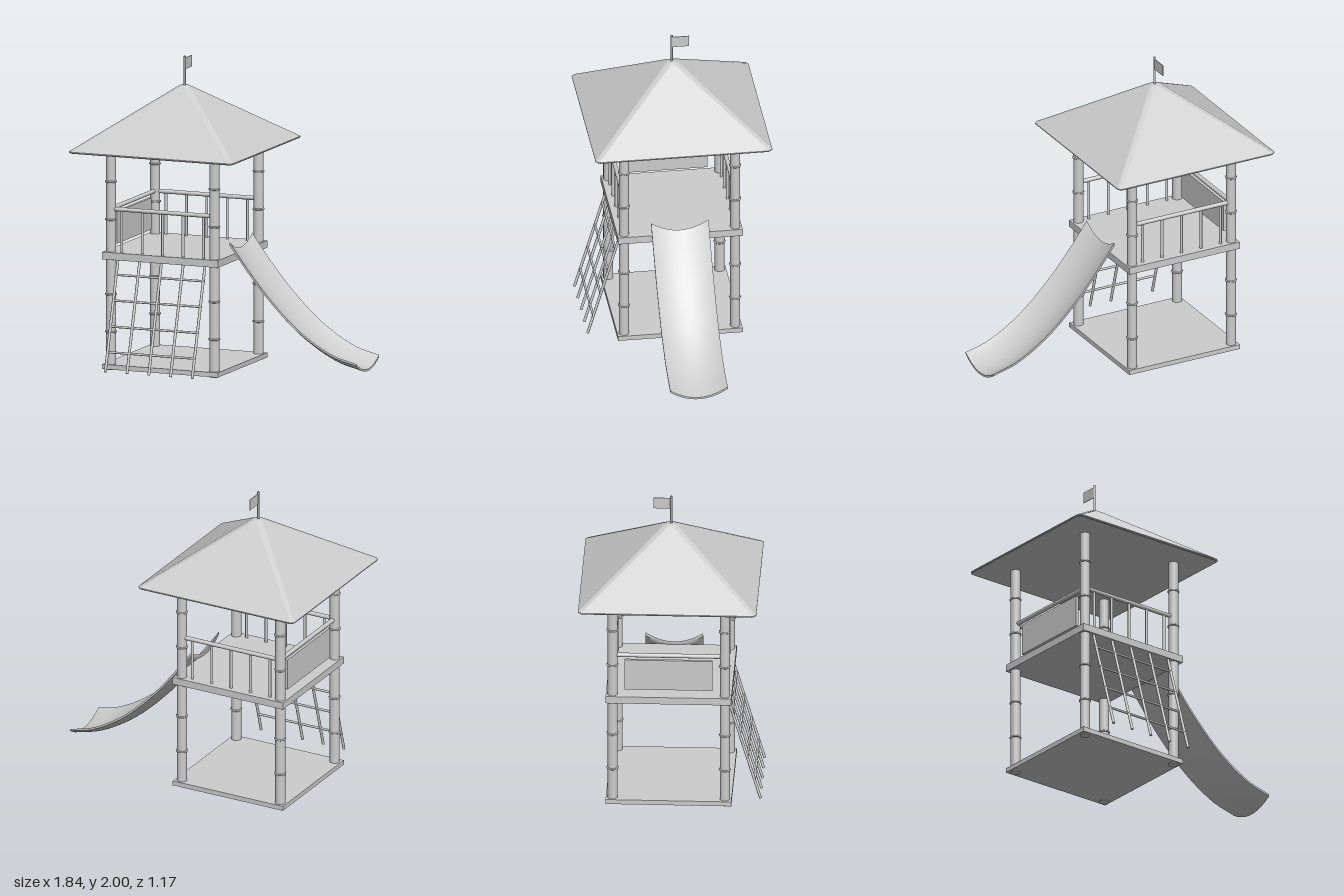
import * as THREE from 'three';
import { toCreasedNormals } from 'three/addons/utils/BufferGeometryUtils.js';
import { ConvexGeometry } from 'three/addons/geometries/ConvexGeometry.js';

const CX = -0.355, CZ = -0.01; // tower centre
const POST = 0.359;            // post distance from the centre

const material = new THREE.MeshStandardMaterial({ color: 0xcccccc });
material.name = 'light grey';

function add(parent, name, geometry, x = 0, y = 0, z = 0) {
  const mesh = new THREE.Mesh(geometry, material);
  mesh.name = name;
  mesh.position.set(x, y, z);
  parent.add(mesh);
  return mesh;
}

// Round bar between two points
function bar(parent, name, from, to, radius, sides = 12) {
  const a = new THREE.Vector3(...from), b = new THREE.Vector3(...to);
  const dir = b.clone().sub(a);
  const mesh = add(parent, name, new THREE.CylinderGeometry(radius, radius, dir.length(), sides));
  mesh.position.copy(a).add(b).multiplyScalar(0.5);
  mesh.quaternion.setFromUnitVectors(new THREE.Vector3(0, 1, 0), dir.normalize());
  return mesh;
}

// Square hip roof with chamfered hips and a blunt peak
function roofGeometry() {
  const rings = [ // half width, chamfer, height
    [0.565, 0.02, 1.419], [0.57, 0.02, 1.424], [0.57, 0.02, 1.43],
    [0.05, 0.03, 1.798], [0.025, 0.015, 1.812],
  ];
  const points = [];
  for (const [h, c, y] of rings) {
    for (const sx of [-1, 1]) for (const sz of [-1, 1]) {
      points.push(new THREE.Vector3(sx * h, y, sz * (h - c)), new THREE.Vector3(sx * (h - c), y, sz * h));
    }
  }
  return new ConvexGeometry(points);
}

// Curved trough: a box bent along the rim curve and dished across its width
function slideGeometry() {
  const rim = new THREE.CatmullRomCurve3([
    [0.036, 0.85], [0.167, 0.675], [0.325, 0.49], [0.537, 0.294], [0.75, 0.167], [0.917, 0.119],
  ].map(([x, y]) => new THREE.Vector3(x, y, 0)));
  const geometry = new THREE.BoxGeometry(1, 1, 1, 36, 1, 20);
  const pos = geometry.attributes.position;
  for (let i = 0; i < pos.count; i++) {
    const t = THREE.MathUtils.clamp(pos.getX(i) + 0.5, 0, 1);
    const u = pos.getZ(i) * 2;
    const p = rim.getPoint(t), tangent = rim.getTangent(t);
    const thickness = pos.getY(i) < 0 ? 0.013 / tangent.x : 0;
    pos.setXYZ(i, p.x, p.y - 0.062 * (1 - u * u) - thickness, u * 0.185);
  }
  return toCreasedNormals(geometry, 0.7);
}

export function createModel() {
  const model = new THREE.Group();
  model.name = 'playTower';

  // Floors
  add(model, 'basePlate', new THREE.BoxGeometry(0.804, 0.031, 0.804), CX, 0.0215, CZ);
  add(model, 'platform', new THREE.BoxGeometry(0.804, 0.047, 0.804), CX, 0.7415, CZ);

  // Corner posts with ring collars
  for (const sx of [-1, 1]) for (const sz of [-1, 1]) {
    const post = new THREE.Group();
    post.name = 'cornerPost';
    post.position.set(CX + sx * POST, 0, CZ + sz * POST);
    add(post, 'postShaft', new THREE.CylinderGeometry(0.032, 0.032, 1.425, 24), 0, 0.7125, 0);
    for (const y of [0.246, 0.49, 0.975, 1.22]) {
      add(post, 'postCollar', new THREE.TorusGeometry(0.033, 0.006, 8, 24), 0, y, 0).rotation.x = Math.PI / 2;
    }
    model.add(post);
  }

  // Front and back railings
  for (const side of [-1, 1]) {
    const railing = new THREE.Group();
    railing.name = side > 0 ? 'frontRailing' : 'backRailing';
    const z = CZ + side * POST;
    bar(railing, 'handrail', [CX - POST, 1.042, z], [CX + POST, 1.042, z], 0.014, 16);
    for (let i = -2; i <= 2; i++) {
      const x = CX + i * 0.1417;
      bar(railing, 'baluster', [x, 0.76, z], [x, 1.042, z], 0.009);
    }
    model.add(railing);
  }

  // Right side rail and solid panel
  bar(model, 'sideHandrail', [CX - POST, 1.042, CZ - POST], [CX - POST, 1.042, CZ + POST], 0.014, 16);
  add(model, 'sidePanel', new THREE.BoxGeometry(0.02, 0.207, 0.562), CX - POST, 0.907, CZ);

  // Leaning climbing net
  const net = new THREE.Group();
  net.name = 'climbingNet';
  const netZ = (y) => 0.575 - (y - 0.022) * 0.298;
  for (let i = -2; i <= 2; i++) {
    const x = CX + i * 0.151;
    bar(net, 'uprightRope', [x, 0.022, netZ(0.022)], [x, 0.73, netZ(0.73)], 0.009);
  }
  for (const y of [0.146, 0.305, 0.466, 0.625]) {
    bar(net, 'crossRope', [CX - 0.31, y, netZ(y)], [CX + 0.31, y, netZ(y)], 0.0075);
  }
  model.add(net);

  // Slide
  add(model, 'slide', slideGeometry(), 0, 0, CZ + 0.002);

  // Roof and flag
  add(model, 'roof', roofGeometry(), CX, 0, CZ - 0.002);
  bar(model, 'flagPole', [CX, 1.79, CZ], [CX, 2, CZ], 0.007);
  add(model, 'flag', new THREE.BoxGeometry(0.005, 0.073, 0.108), CX, 1.95, CZ - 0.058);

  return model;
}
